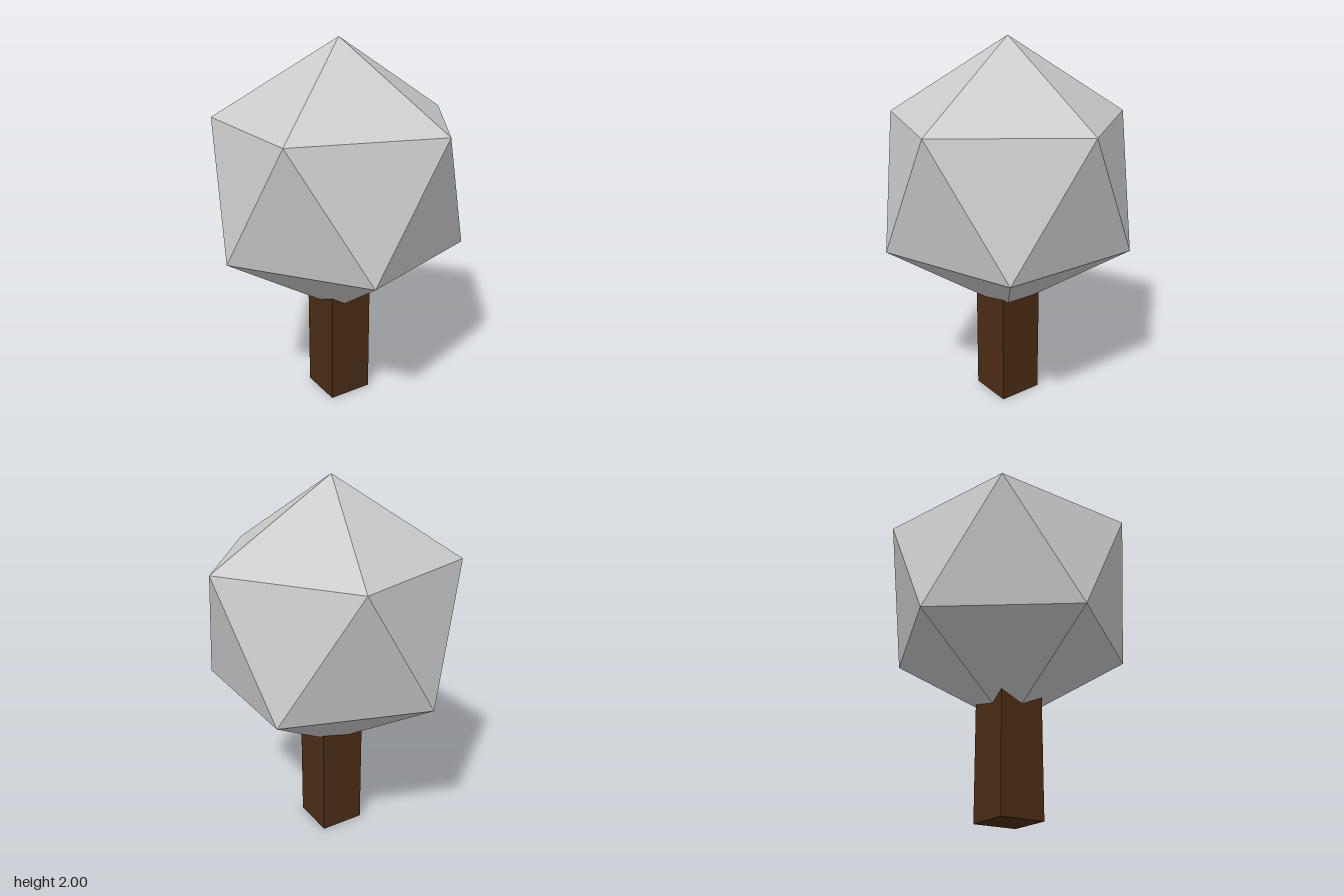
import * as THREE from 'three';

export function createModel() {
  const tree = new THREE.Group();
  tree.name = 'tree';

  // square trunk, its top buried in the foliage
  const trunkHeight = 0.75;
  const trunk = new THREE.Mesh(
    new THREE.BoxGeometry(0.25, trunkHeight, 0.25),
    new THREE.MeshStandardMaterial({ color: 0x4b2c15 })
  );
  trunk.name = 'trunk';
  trunk.position.y = trunkHeight / 2;
  tree.add(trunk);

  // faceted crown, turned so one corner points straight up and an upper one to +x
  const radius = 0.75;
  const golden = (1 + Math.sqrt(5)) / 2;
  const crown = new THREE.IcosahedronGeometry(radius, 0);
  crown.rotateZ(-Math.atan(1 / golden));
  const foliage = new THREE.Mesh(
    crown,
    new THREE.MeshStandardMaterial({ color: 0xcccccc, flatShading: true })
  );
  foliage.name = 'foliage';
  foliage.position.y = 2 - radius;
  tree.add(foliage);

  return tree;
}
